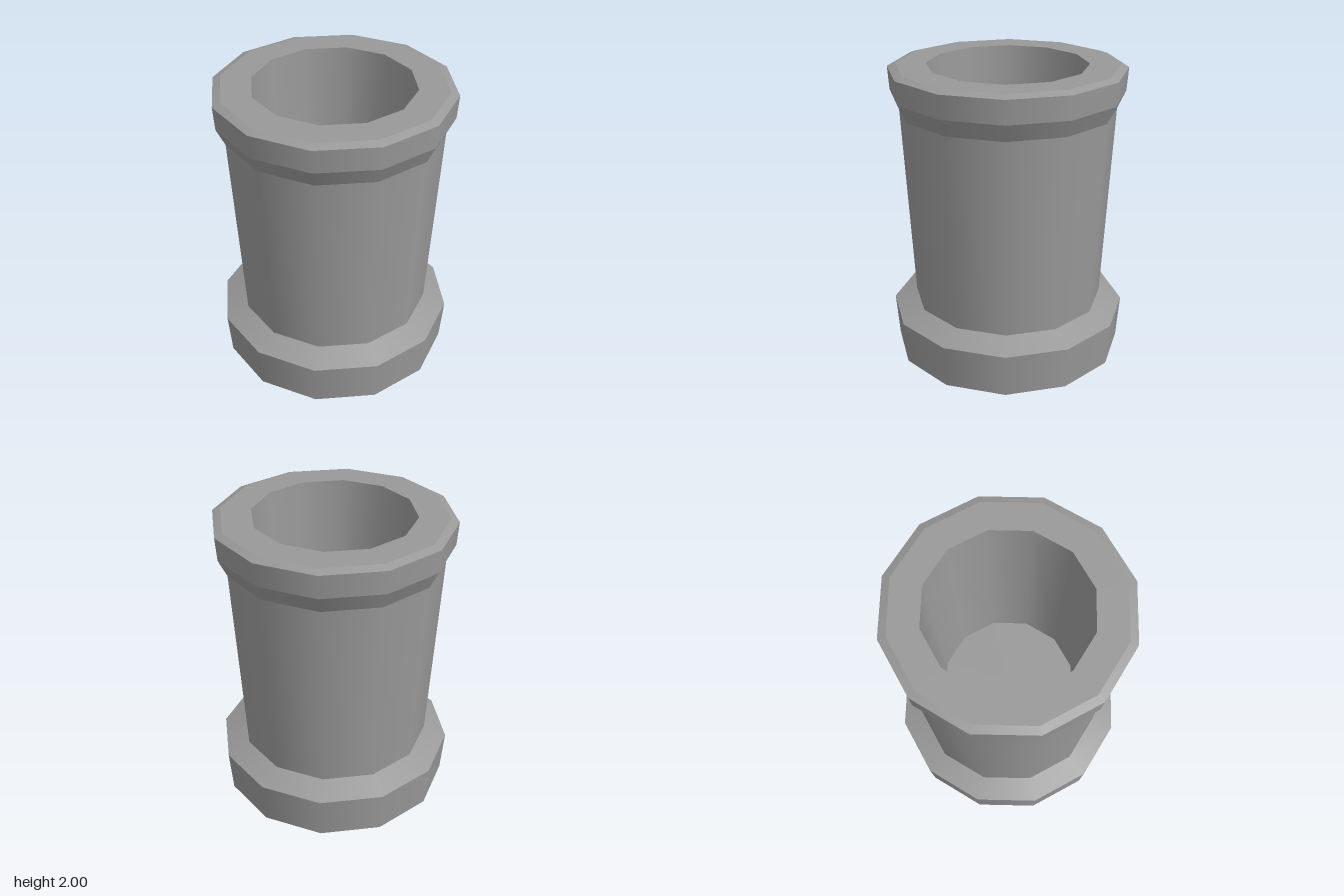
import * as THREE from 'three';

const SIDES = 12;
const FLOOR_Y = 0.73;

function material(flatShading = false) {
  return new THREE.MeshStandardMaterial({ color: 0x999999, side: THREE.DoubleSide, flatShading });
}

// One turned band per profile segment: smooth around, sharp between bands
function turned(name, profile, flat = false) {
  const part = new THREE.Group();
  part.name = name;
  const points = profile.map(([r, y]) => new THREE.Vector2(r, y));
  for (let i = 0; i < points.length - 1; i++) {
    const band = new THREE.Mesh(
      new THREE.LatheGeometry([points[i], points[i + 1]], SIDES),
      material(flat),
    );
    band.name = `${name}Band${i + 1}`;
    part.add(band);
  }
  return part;
}

export function createModel() {
  const group = new THREE.Group();
  group.name = 'chimneyPot';

  // Sloped ring around the open underside
  group.add(turned('undersideRing', [[0.63, 0.07], [0.785, 0]], true));

  // Wide foot with a sloped shoulder, hollow inside
  group.add(turned('foot', [[0.785, 0], [0.807, 0.296], [0.65, 0.365]]));

  // Tapered wall, flared collar and bevelled flat rim
  group.add(turned('bodyAndRim', [
    [0.65, 0.365], [0.717, 1.708], [0.772, 1.825], [0.782, 1.98], [0.73, 2], [0.53, 2],
  ]));

  // Tapered bore closed by a floor
  group.add(turned('bore', [[0.53, 2], [0.46, FLOOR_Y]]));
  const floor = new THREE.Mesh(new THREE.CircleGeometry(0.46, SIDES), material());
  floor.name = 'boreFloor';
  floor.rotation.x = -Math.PI / 2;
  floor.position.y = FLOOR_Y;
  group.add(floor);

  return group;
}
